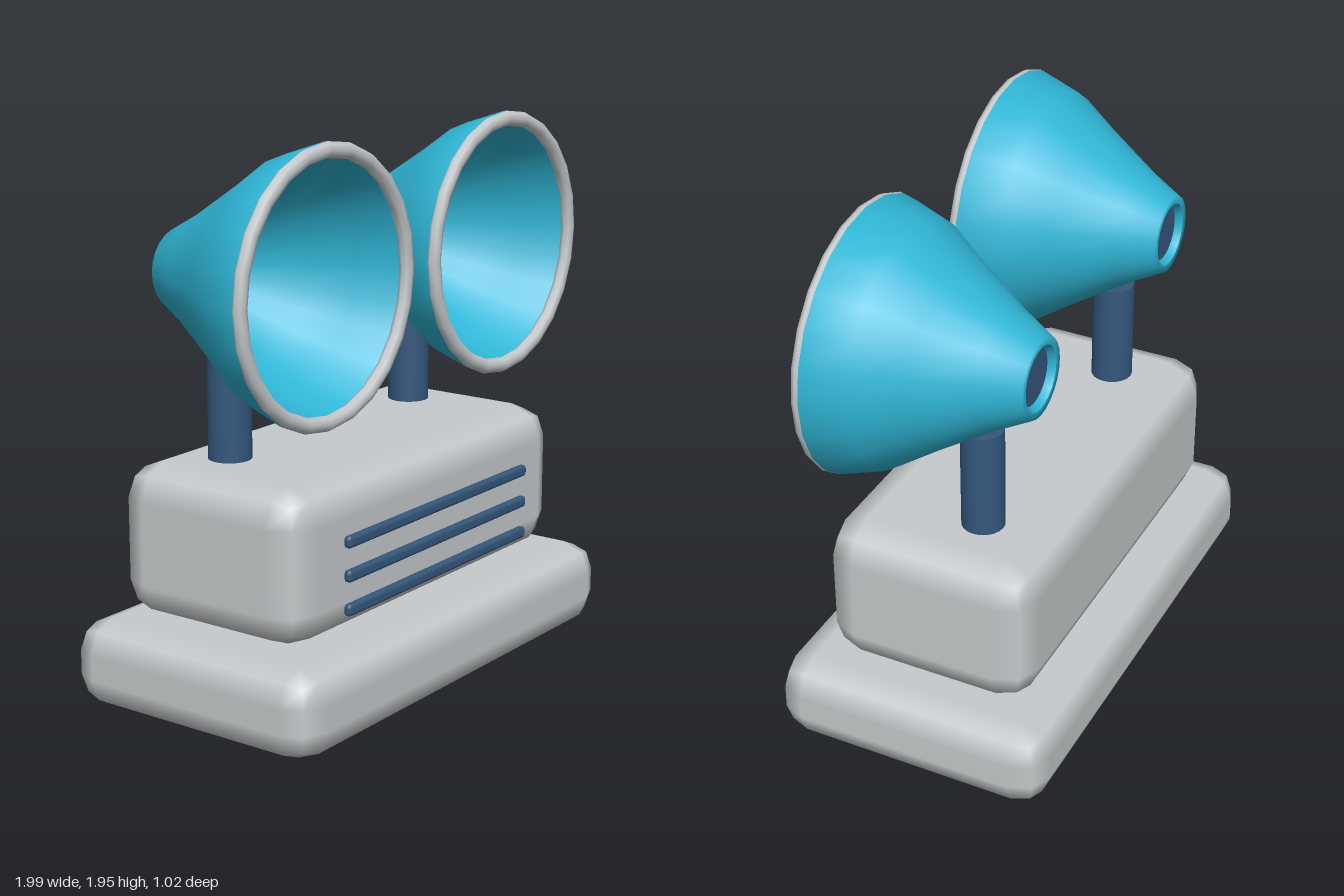
import * as THREE from 'three';
import { RoundedBoxGeometry } from 'three/addons/geometries/RoundedBoxGeometry.js';

const mat = (name, color) => {
  const m = new THREE.MeshStandardMaterial({ color });
  m.name = name;
  return m;
};

export function createModel() {
  const grey = mat('light grey', 0xc6cacc);
  const teal = mat('teal', 0x2fb5d5);
  const navy = mat('navy', 0x35587d);

  const model = new THREE.Group();
  model.name = 'twinHornSiren';

  const add = (parent, name, geometry, material, x, y, z) => {
    const mesh = new THREE.Mesh(geometry, material);
    mesh.name = name;
    mesh.position.set(x, y, z);
    parent.add(mesh);
    return mesh;
  };

  // Chamfered base and housing
  add(model, 'base', new RoundedBoxGeometry(1.86, 0.31, 1.02, 1, 0.112), grey, 0, 0.155, 0);
  add(model, 'housing', new RoundedBoxGeometry(1.6, 0.54, 0.77, 1, 0.125), grey, 0, 0.583, -0.015);

  // Three grille bars on the front of the housing
  for (const y of [0.417, 0.534, 0.651]) {
    add(model, 'grilleBar', new RoundedBoxGeometry(1.09, 0.044, 0.032, 1, 0.015), navy, 0, y, 0.386);
  }

  // Horn wall as a closed profile [radius, z]: outside forward, then inside back
  const profile = [
    [0.112, -0.326], [0.138, -0.326], [0.205, -0.2], [0.33, 0.0], [0.42, 0.134], [0.47, 0.285],
    [0.43, 0.285], [0.385, 0.13], [0.3, 0.0], [0.175, -0.19], [0.108, -0.23], [0.1, -0.3], [0.112, -0.326],
  ].map(([r, z]) => new THREE.Vector2(r, z));
  const hornGeometry = new THREE.LatheGeometry(profile, 24).rotateX(Math.PI / 2);
  const rimGeometry = new THREE.TorusGeometry(0.445, 0.027, 8, 24).scale(1, 1, 0.85);
  const plugGeometry = new THREE.CylinderGeometry(0.106, 0.106, 0.08, 24).rotateX(Math.PI / 2);
  const postGeometry = new THREE.CylinderGeometry(0.075, 0.075, 0.43, 20);

  // Mirrored posts and horns
  for (const [side, x] of [['left', 0.525], ['right', -0.525]]) {
    add(model, side + 'Post', postGeometry, navy, x, 1.02, -0.115);
    const horn = new THREE.Group();
    horn.name = side + 'Horn';
    horn.position.set(x, 1.48, 0);
    add(horn, 'bell', hornGeometry, teal, 0, 0, 0);
    add(horn, 'rim', rimGeometry, grey, 0, 0, 0.296);
    add(horn, 'throatPlug', plugGeometry, navy, 0, 0, -0.26);
    model.add(horn);
  }
  return model;
}
